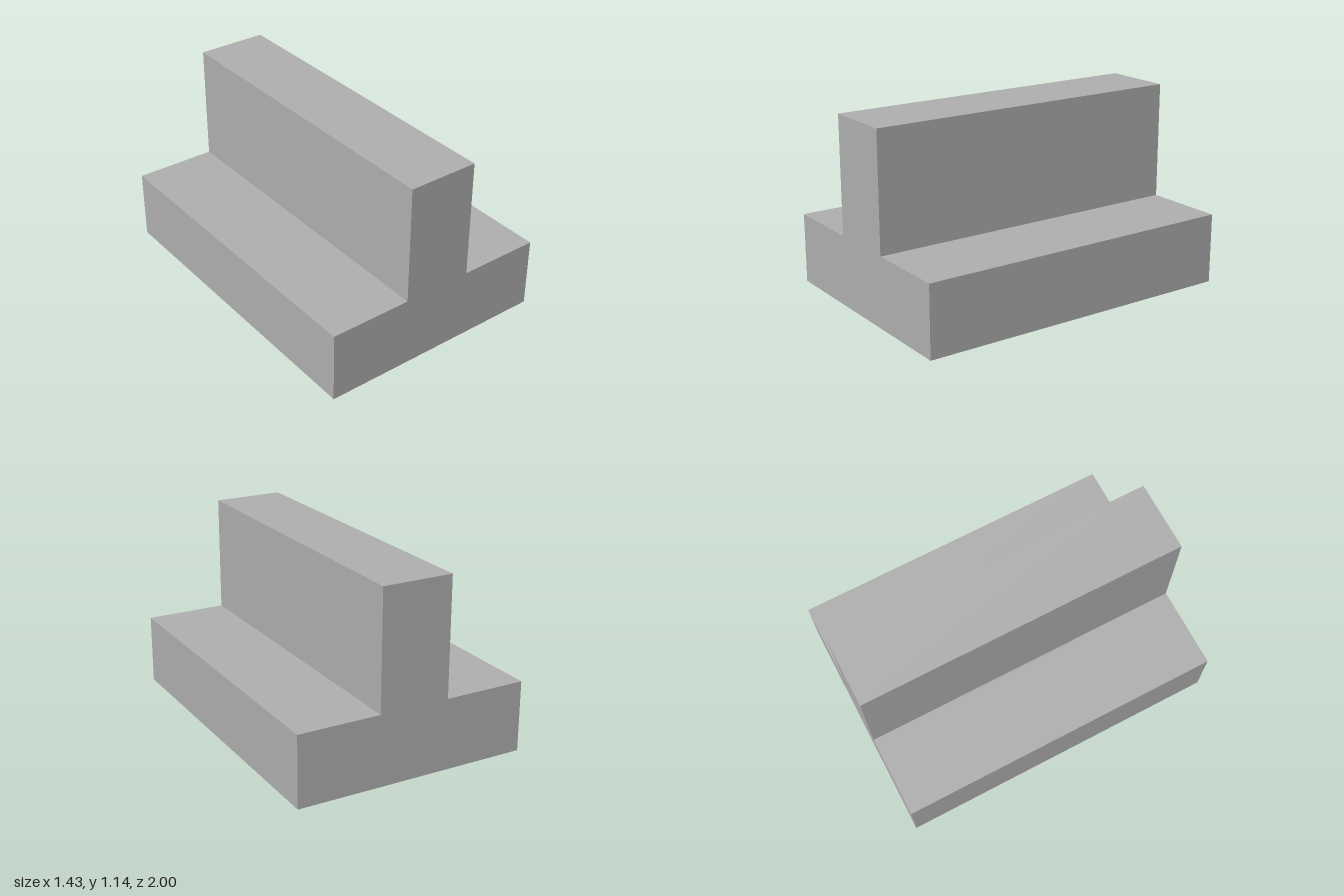
import * as THREE from 'three';

export function createModel() {
  const group = new THREE.Group();
  group.name = 'teeBlock';

  const grey = new THREE.MeshStandardMaterial({ color: 0xb0b0b0 });
  grey.name = 'grey';

  // Inverted-T cross-section: wide base with a central upright rib
  const unit = 1 / 7;
  const base = 5 * unit, rib = 1.5 * unit, step = 3 * unit, top = 8 * unit;
  const half = [[base, 0], [base, step], [rib, step], [rib, top]];
  const mirrored = half.map(([x, y]) => [-x, y]).reverse();
  const profile = new THREE.Shape([...half, ...mirrored].map(([x, y]) => new THREE.Vector2(x, y)));

  // Extruded along the full length
  const length = 2;
  const geometry = new THREE.ExtrudeGeometry(profile, { depth: length, bevelEnabled: false });
  geometry.translate(0, 0, -length / 2);

  const rail = new THREE.Mesh(geometry, grey);
  rail.name = 'teeRail';
  group.add(rail);
  return group;
}
